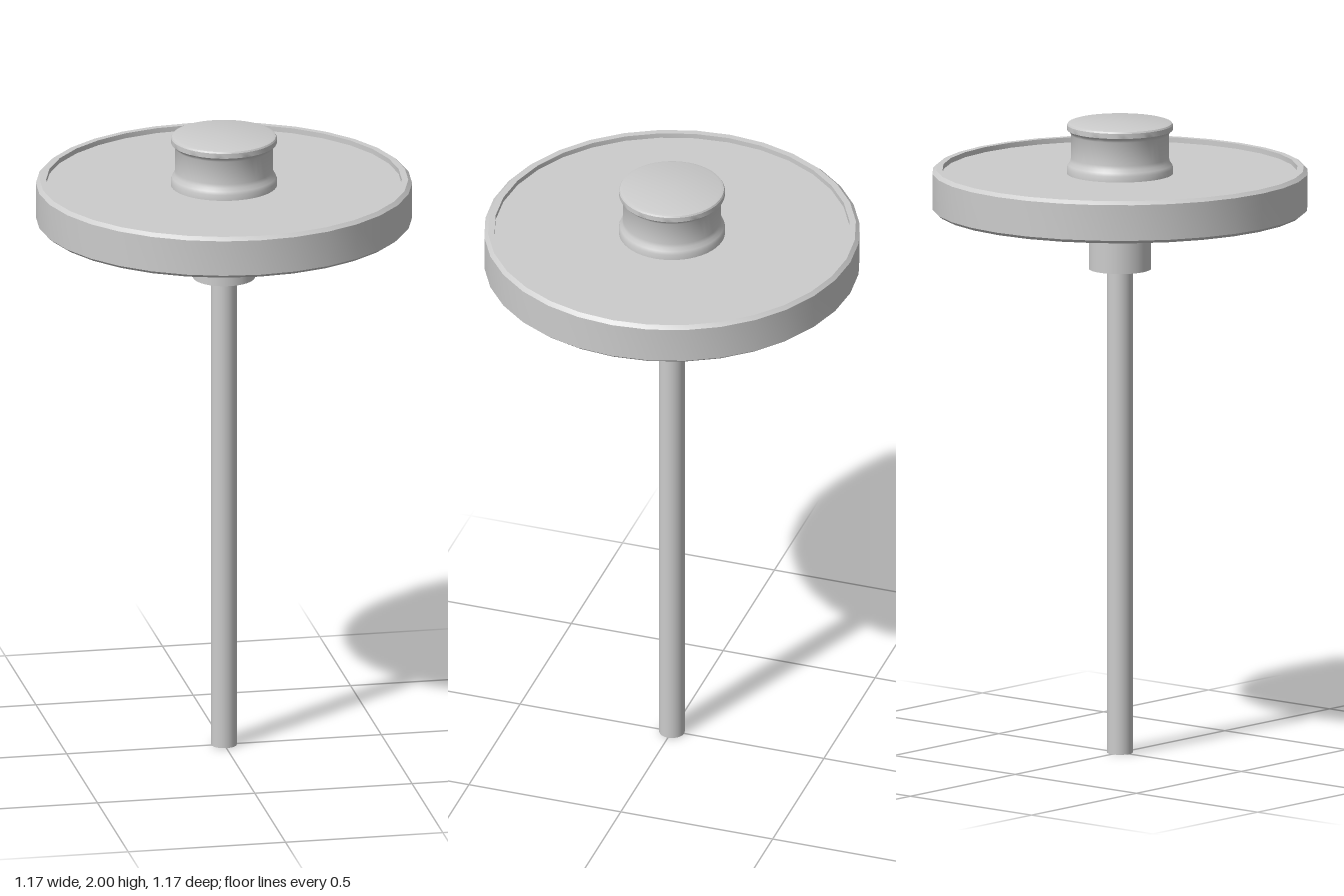
import * as THREE from 'three';
import { toCreasedNormals } from 'three/addons/utils/BufferGeometryUtils.js';

const material = new THREE.MeshStandardMaterial({ color: 0xcccccc });

// Turned part from a [radius, height] profile, listed bottom to top
function turned(name, profile, sides) {
  const points = profile.map(([r, y]) => new THREE.Vector2(r, y));
  const geometry = toCreasedNormals(new THREE.LatheGeometry(points, sides), 0.5);
  const mesh = new THREE.Mesh(geometry, material);
  mesh.name = name;
  return mesh;
}

// Plain cylinder between two heights
function rod(name, radius, y0, y1, sides) {
  const mesh = new THREE.Mesh(new THREE.CylinderGeometry(radius, radius, y1 - y0, sides), material);
  mesh.position.y = (y0 + y1) / 2;
  mesh.name = name;
  return mesh;
}

export function createModel() {
  const model = new THREE.Group();
  model.name = 'spindleDisc';

  // Long shaft, hub and flange under the disc
  model.add(rod('shaft', 0.04, 0, 1.54, 32));
  model.add(rod('hub', 0.097, 1.535, 1.68, 48));
  model.add(rod('flange', 0.165, 1.677, 1.722, 48));

  // Disc with chamfered edges and a shallow recess inside the rim
  model.add(turned('disc', [
    [0, 1.72], [0.575, 1.72], [0.587, 1.73], [0.587, 1.843],
    [0.575, 1.854], [0.555, 1.854], [0.555, 1.838], [0, 1.838],
  ], 32));

  // Waisted knob with a flared foot and a rounded lip
  model.add(turned('knob', [
    [0.166, 1.836], [0.166, 1.856], [0.162, 1.866], [0.155, 1.876], [0.153, 1.888],
    [0.153, 1.962], [0.157, 1.97], [0.165, 1.976], [0.165, 1.992],
    [0.162, 1.997], [0.153, 2], [0, 2],
  ], 48));

  return model;
}
